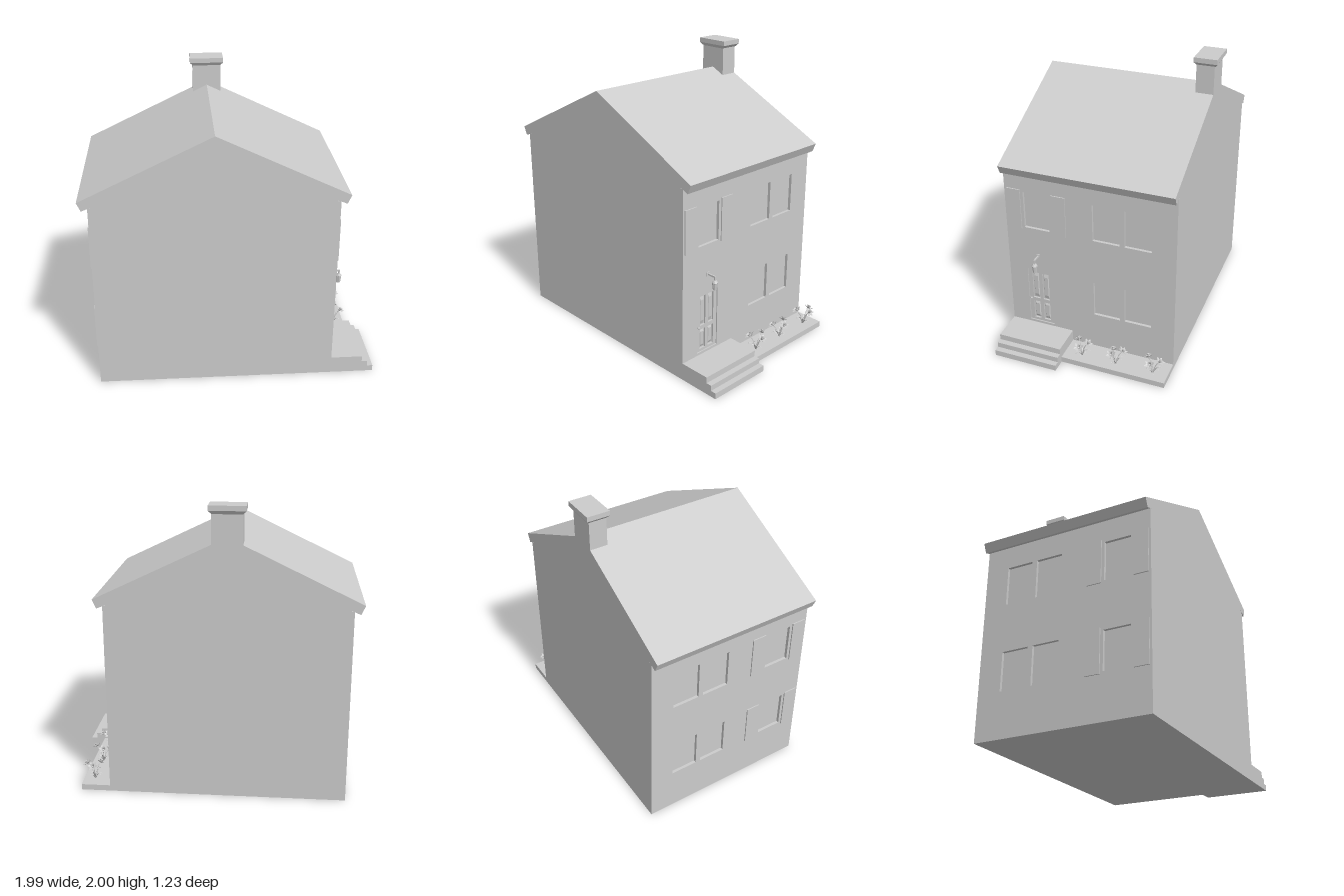
import * as THREE from 'three';

const grey = new THREE.MeshStandardMaterial({ color: 0xcccccc, flatShading: true });
const thin = new THREE.MeshStandardMaterial({ color: 0xcccccc, flatShading: true, side: THREE.DoubleSide });

const BACK = -0.595, FRONT = 0.615, RIGHT = 0.69, LEFT = -0.93, RECESS = 0.02;

function add(parent, name, geometry, material = grey) {
  const mesh = new THREE.Mesh(geometry, material);
  mesh.name = name;
  parent.add(mesh);
  return mesh;
}

// Box given by its limits on each axis
function box(parent, name, x0, x1, y0, y1, z0, z1) {
  const mesh = add(parent, name, new THREE.BoxGeometry(x1 - x0, y1 - y0, z1 - z0));
  mesh.position.set((x0 + x1) / 2, (y0 + y1) / 2, (z0 + z1) / 2);
  return mesh;
}

const corners = ([z0, z1, y0, y1]) =>
  [[z0, y0], [z1, y0], [z1, y1], [z0, y1]].map(([a, b]) => new THREE.Vector2(a, b));

// Panel in the z-y plane with rectangular holes; its outer face is at x and it runs towards -x
function panel(parent, name, x, depth, rect, holes) {
  const shape = new THREE.Shape(corners(rect));
  holes.forEach(h => shape.holes.push(new THREE.Path(corners(h).reverse())));
  const geo = new THREE.ExtrudeGeometry(shape, { depth, bevelEnabled: false });
  geo.rotateY(-Math.PI / 2);
  geo.translate(x, 0, 0);
  return add(parent, name, geo);
}

// Openings as [z0, z1, y0, y1]
const windowColumns = [[-0.43, -0.24], [-0.205, -0.015]];
const upper = [0.91, 1.18], lower = [0.31, 0.575];
const pairs = windowColumns.flatMap(c => [[...c, ...upper], [...c, ...lower]]);
const shutteredUpper = [0.295, 0.48, ...upper];
const shutteredLower = [0.295, 0.48, ...lower];
const doorway = [0.295, 0.48, 0.14, 0.575];

function addShutters(parent, x0, x1, [, , y0, y1]) {
  for (const [z0, z1] of [[0.175, 0.275], [0.5, 0.6]])
    box(parent, 'shutter', x0, x1, y0 - 0.015, y1 + 0.015, z0, z1);
}

function addDoor(parent) {
  const door = new THREE.Group();
  door.name = 'door';
  const holes = [];
  for (const z of [[0.325, 0.375], [0.4, 0.45]])
    for (const y of [[0.16, 0.305], [0.332, 0.548]]) holes.push([...z, ...y]);
  const face = RIGHT - 0.008;
  panel(door, 'doorFrame', face, 0.012, doorway, holes);
  // Raised centre with sloping edges in each sunken panel
  for (const [z0, z1, y0, y1] of holes) {
    const geo = new THREE.CylinderGeometry(Math.SQRT1_2 * 0.75, Math.SQRT1_2, 0.007, 4, 1);
    geo.rotateY(Math.PI / 4).rotateZ(-Math.PI / 2);
    geo.scale(1, y1 - y0 - 0.014, z1 - z0 - 0.014);
    add(door, 'doorPanel', geo).position.set(RIGHT - RECESS + 0.0035, (y0 + y1) / 2, (z0 + z1) / 2);
  }
  add(door, 'doorKnob', new THREE.SphereGeometry(0.008, 10, 8)).position.set(face + 0.006, 0.325, 0.466);
  parent.add(door);
}

function addLamp(parent) {
  const lamp = new THREE.Group();
  lamp.name = 'wallLamp';
  lamp.position.set(RIGHT, 0, 0.39);
  box(lamp, 'lampPlate', 0, 0.006, 0.682, 0.712, -0.012, 0.012);
  box(lamp, 'lampArm', 0, 0.07, 0.692, 0.703, -0.005, 0.005);
  box(lamp, 'lampHanger', 0.06, 0.07, 0.665, 0.703, -0.004, 0.004);
  const profile = [[0, 0.605], [0.013, 0.607], [0.019, 0.655], [0.021, 0.658], [0.012, 0.672], [0, 0.675]];
  const lantern = add(lamp, 'lantern',
    new THREE.LatheGeometry(profile.map(p => new THREE.Vector2(...p)), 8));
  lantern.position.x = 0.065;
  parent.add(lamp);
}

// Tapered leaf that arches outwards along +x
function leafGeometry(length, height) {
  const geo = new THREE.PlaneGeometry(1, 1, 2, 5);
  const p = geo.attributes.position;
  for (let i = 0; i < p.count; i++) {
    const t = p.getY(i) + 0.5, s = p.getX(i);
    const width = 0.014 * (1 - t * t * 0.95);
    p.setXYZ(i, length * t, height * Math.sin(t * 2.3) - 0.006 * (1 - Math.abs(s) * 2) * (1 - t), s * width);
  }
  geo.computeVertexNormals();
  return geo;
}

// Bloom facing +y: six pointed petals around a flared cup
function addBloom(parent, position, direction) {
  const bloom = new THREE.Group();
  bloom.name = 'bloom';
  const petal = new THREE.PlaneGeometry(1, 1, 2, 3);
  const p = petal.attributes.position;
  const widths = [0.006, 0.02, 0.017, 0.001];
  for (let i = 0; i < p.count; i++) {
    const t = p.getY(i) + 0.5, s = p.getX(i);
    p.setXYZ(i, 0.004 + 0.032 * t, 0.016 * t + Math.abs(s) * 0.008 * (1 - t), s * widths[Math.round(t * 3)]);
  }
  for (let i = 0; i < 6; i++) add(bloom, 'petal', petal, thin).rotation.y = i * Math.PI / 3;
  const cup = [[0, 0], [0.007, 0.003], [0.009, 0.015], [0.015, 0.024]];
  add(bloom, 'cup', new THREE.LatheGeometry(cup.map(c => new THREE.Vector2(...c)), 8), thin);
  bloom.position.copy(position);
  bloom.quaternion.setFromUnitVectors(new THREE.Vector3(0, 1, 0), direction.normalize());
  parent.add(bloom);
}

// Clump of leaves and stems; heads are offsets from its centre at ground level
function addFlowers(parent, z, heads, turn) {
  const clump = new THREE.Group();
  clump.name = 'flowers';
  clump.position.set(0.815, 0.04, z);
  for (let i = 0; i < 8; i++) {
    const leaf = add(clump, 'leaf', leafGeometry(0.045 + (i % 3) * 0.009, 0.03 + (i * 3 % 4) * 0.01), thin);
    leaf.rotation.y = turn + i * Math.PI / 4;
  }
  for (const [x, y, dz] of heads) {
    const top = new THREE.Vector3(x, y, dz);
    const curve = new THREE.QuadraticBezierCurve3(
      new THREE.Vector3(x * 0.1, 0, dz * 0.1), new THREE.Vector3(x * 0.3, y * 0.7, dz * 0.3), top);
    add(clump, 'stem', new THREE.TubeGeometry(curve, 6, 0.003, 5));
    addBloom(clump, top, new THREE.Vector3(x, 0.07, dz));
  }
  parent.add(clump);
}

export function createModel() {
  const house = new THREE.Group();
  house.name = 'house';

  // Core with gables, roof slopes and overhanging eaves
  const profile = [[LEFT + RECESS, 0], [RIGHT - RECESS, 0], [RIGHT - RECESS, 1.343], [RIGHT, 1.335],
    [0.73, 1.318], [0.757, 1.378], [-0.12, 1.8], [-0.997, 1.378], [-0.97, 1.318], [LEFT, 1.335],
    [LEFT + RECESS, 1.343]];
  const core = new THREE.ExtrudeGeometry(new THREE.Shape(profile.map(p => new THREE.Vector2(...p))),
    { depth: FRONT - BACK, bevelEnabled: false });
  core.translate(0, 0, BACK);
  add(house, 'gablesAndRoof', core);

  // Side walls with sunken windows
  const wall = [BACK, FRONT, 0, 1.338];
  panel(house, 'doorWall', RIGHT, RECESS, wall, [...pairs, shutteredUpper, doorway]);
  panel(house, 'windowWall', LEFT + RECESS, RECESS, wall, [...pairs, shutteredUpper, shutteredLower]);
  addShutters(house, RIGHT, RIGHT + 0.008, shutteredUpper);
  addShutters(house, LEFT - 0.008, LEFT, shutteredUpper);
  addShutters(house, LEFT - 0.008, LEFT, shutteredLower);
  addDoor(house);
  addLamp(house);

  // Chimney with a cap that tapers in below
  box(house, 'chimney', -0.22, -0.02, 1.7, 1.95, BACK, -0.472);
  box(house, 'chimneyCap', -0.24, 0, 1.967, 2, -0.615, -0.457);
  const taper = new THREE.CylinderGeometry(Math.SQRT1_2, Math.SQRT1_2 * 0.82, 0.022, 4, 1);
  taper.rotateY(Math.PI / 4).scale(0.24, 1, 0.158);
  add(house, 'chimneyCapTaper', taper).position.set(-0.12, 1.956, -0.536);

  // Entrance steps and flower bed
  const steps = [[RIGHT, 0.91, 0.122], [0.91, 0.95, 0.08], [0.95, 0.99, 0.042]];
  for (const [x0, x1, y] of steps) box(house, 'step', x0, x1, 0, y, 0.153, FRONT);
  box(house, 'flowerBed', RIGHT, 0.89, 0, 0.04, BACK, 0.153);

  addFlowers(house, 0.03, [[-0.03, 0.1, 0.03], [0.005, 0.11, -0.045], [0.045, 0.095, 0]], 0.2);
  addFlowers(house, -0.22, [[-0.01, 0.105, -0.045], [0.045, 0.105, 0.012], [-0.035, 0.08, 0.025]], 0.6);
  addFlowers(house, -0.49, [[0.005, 0.105, -0.045], [0.05, 0.105, 0.005], [-0.03, 0.1, 0.035]], 0.4);

  return house;
}
